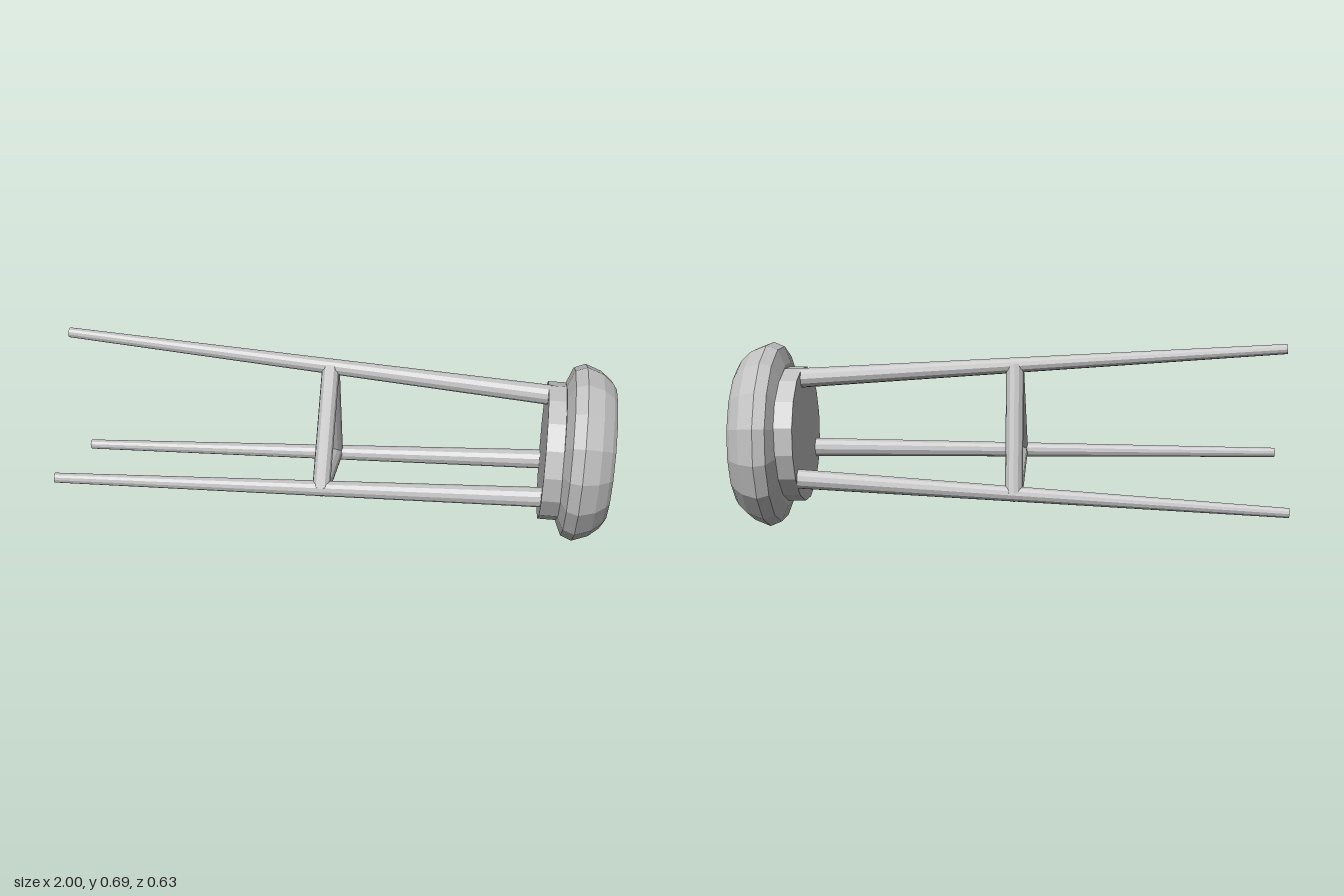
import * as THREE from 'three';

// A round three-legged stool lying on its side, seat towards +x.
export function createModel() {
  const model = new THREE.Group();
  model.name = 'stool';
  const grey = new THREE.MeshStandardMaterial({ color: 0xc0c0c0, flatShading: true });
  grey.name = 'grey';

  const add = (name, geometry, parent = model) => {
    const mesh = new THREE.Mesh(geometry, grey);
    mesh.name = name;
    parent.add(mesh);
    return mesh;
  };

  // Seat: 16-sided turned parts, axis along x, cushion slightly oval
  const seat = new THREE.Group();
  seat.name = 'seat';
  seat.position.set(0.88, 0.333, 0);
  seat.rotation.z = -0.015;
  model.add(seat);
  const major = new THREE.Vector3(0, Math.sin(1.11), Math.cos(1.11));
  const axis = new THREE.Vector3(1, 0, 0);
  const minor = axis.clone().cross(major);
  const turn = new THREE.Matrix4().makeBasis(minor, axis, major);

  const turned = (name, profile, squash) => {
    const points = profile.map(([x, r]) => new THREE.Vector2(r, x - 0.88));
    const geometry = new THREE.LatheGeometry(points, 16, Math.PI / 16);
    geometry.scale(squash, 1, 1).applyMatrix4(turn);
    add(name, geometry, seat);
  };
  turned('seatBase', [[0.759, 0], [0.759, 0.25], [0.84, 0.25], [0.84, 0]], 1);
  turned('cushion', [
    [0.822, 0], [0.822, 0.268], [0.846, 0.328], [0.887, 0.345],
    [0.945, 0.322], [0.982, 0.288], [0.996, 0.265], [0.996, 0],
  ], 0.9);

  // Straight round bar between two points
  const bar = (name, a, b, ra, rb) => {
    const along = b.clone().sub(a);
    const mesh = add(name, new THREE.CylinderGeometry(rb, ra, along.length(), 12));
    mesh.position.copy(a).add(b).multiplyScalar(0.5);
    mesh.quaternion.setFromUnitVectors(new THREE.Vector3(0, 1, 0), along.normalize());
  };

  // Tapered legs, foot to seat
  const legs = [
    ['upperLeg', [-0.99, 0.673, -0.057], [0.78, 0.547, -0.028]],
    ['frontLeg', [-0.998, 0.232, 0.248], [0.78, 0.246, 0.178]],
    ['backLeg', [-0.998, 0.109, -0.2], [0.78, 0.2, -0.16]],
  ].map(([name, foot, top]) => {
    const a = new THREE.Vector3(...foot), b = new THREE.Vector3(...top);
    bar(name, a, b, 0.018, 0.036);
    return a.clone().lerp(b, 0.548);
  });

  // Triangle of stretchers between the legs
  legs.forEach((p, i) => bar('stretcher' + (i + 1), p, legs[(i + 1) % 3], 0.032, 0.032));

  return model;
}
